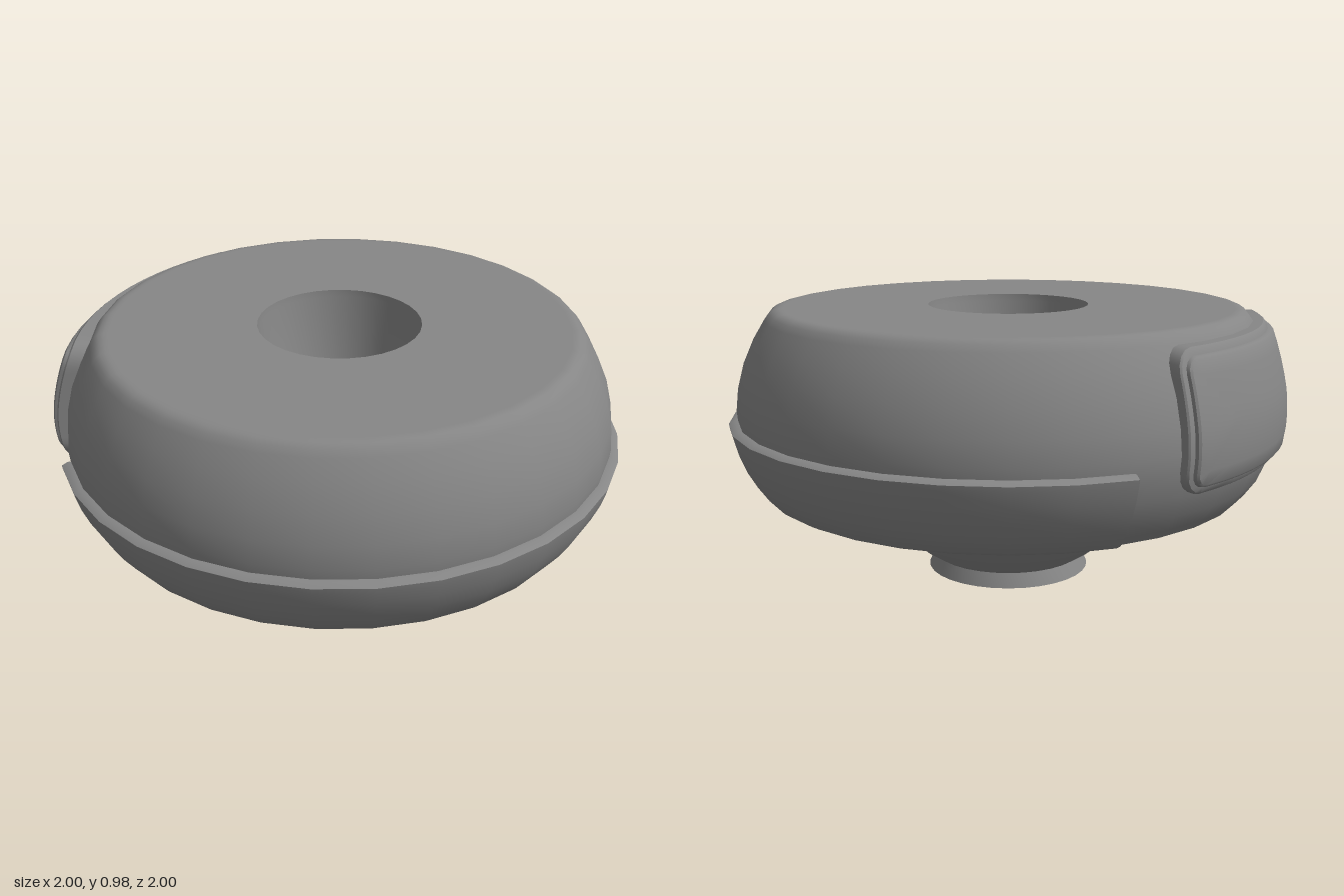
import * as THREE from 'three';
import { toCreasedNormals, mergeVertices } from 'three/addons/utils/BufferGeometryUtils.js';

const SEG = Math.PI / 16; // the round parts have 32 sides
const COLOR = 0x868686;
const mat = new THREE.MeshStandardMaterial({ color: COLOR });
const thin = new THREE.MeshStandardMaterial({ color: COLOR, side: THREE.DoubleSide });
const vecs = (pts) => pts.map(([r, y]) => new THREE.Vector2(r, y));

// outer wall of the drum, bottom to top
const wall = [
  [0.848, 0.325], [0.875, 0.355], [0.915, 0.41], [0.945, 0.48], [0.964, 0.55], [0.971, 0.62],
  [0.962, 0.7], [0.938, 0.79], [0.9, 0.875], [0.862, 0.938], [0.847, 0.959], [0.83, 0.971],
  [0.812, 0.975], [0.8, 0.975],
];

function add(parent, name, geometry, material = mat) {
  const mesh = new THREE.Mesh(geometry, material);
  mesh.name = name;
  parent.add(mesh);
  return mesh;
}

function lathe(pts, sides, start = 0) {
  return toCreasedNormals(new THREE.LatheGeometry(vecs(pts), sides, start, sides * SEG), 0.55);
}

// rounded rectangle outline shrunk by d, counterclockwise, always the same point count
function outline(hw, hh, radius, d) {
  const w = hw - d, h = Math.max(hh - d, 0), c = Math.min(Math.max(radius - d, 0.004), h);
  const pts = [];
  const corners = [[1, 1], [-1, 1], [-1, -1], [1, -1]];
  corners.forEach(([sx, sy], k) => {
    for (let i = 0; i <= 4; i++) {
      const a = (k + i / 4) * Math.PI / 2;
      pts.push([sx * (w - c) + c * Math.cos(a), sy * (h - c) + c * Math.sin(a)]);
    }
    const [nx, ny] = corners[(k + 1) % 4];
    const a = (k + 1) * Math.PI / 2, n = 12;
    for (let i = 1; i < n; i++) {
      const t = i / n;
      pts.push([
        (sx + (nx - sx) * t) * (w - c) + c * Math.cos(a),
        (sy + (ny - sy) * t) * (h - c) + c * Math.sin(a),
      ]);
    }
  });
  return pts;
}

// two-step side panel, wrapped onto the drum wall as nested outlines
function panelGeometry() {
  const hw = 0.6, hh = 0.222, midY = 0.713, midPhi = 23 * SEG;
  const rings = [ // inset, height above the wall
    [0, -0.03], [0, 0.006], [0.006, 0.011], [0.024, 0.011], [0.027, 0.023], [0.035, 0.028],
    [0.08, 0.026], [0.13, 0.024], [0.18, 0.023], [0.222, 0.023],
  ];
  const pos = [], index = [];
  let n = 0;
  rings.forEach(([inset, lift], j) => {
    const pts = outline(hw, hh, 0.075, inset);
    n = pts.length;
    pts.forEach(([u, v], i) => {
      const y = midY + v;
      const flare = 0.022 * (u / hw) ** 2 + 0.025 * Math.max(0, v / hh) ** 2;
      const r = 0.97 - 1.13 * (y - 0.63) ** 2 + lift + (lift > 0 ? flare : 0);
      const phi = midPhi + u / 0.976;
      pos.push(r * Math.sin(phi), y, r * Math.cos(phi));
      if (j > 0) {
        const a = (j - 1) * n + i, b = (j - 1) * n + (i + 1) % n;
        index.push(a, b, b + n, a, b + n, a + n);
      }
    });
  });
  const g = new THREE.BufferGeometry();
  g.setAttribute('position', new THREE.Float32BufferAttribute(pos, 3));
  g.setIndex(index);
  return toCreasedNormals(mergeVertices(g), 0.6);
}

// one spoke of the cross, seen from above, widening toward the outer end
function spokeGeometry() {
  const half = [[0, 0.04], [0.085, 0.04], [0.11, 0.06], [0.57, 0.06]];
  const pts = [...half, ...half.map(([x, y]) => [x, -y]).reverse()];
  const g = new THREE.ExtrudeGeometry(new THREE.Shape(vecs(pts)), { depth: 0.022, bevelEnabled: false });
  return g.rotateX(-Math.PI / 2);
}

export function createModel() {
  const model = new THREE.Group();
  model.name = 'roundDispenser';
  const body = new THREE.Group();
  body.name = 'body';
  body.position.x = -0.007;
  model.add(body);

  // drum, bowl, foot and the tapered hole through the middle, as one closed profile
  add(body, 'drum', lathe([
    [0.21, 0], [0.295, 0], [0.275, 0.05], [0.34, 0.093], [0.4, 0.148], [0.455, 0.21],
    [0.5, 0.27], [0.525, 0.325], ...wall,
    [0.287, 0.975], [0.285, 0.95], [0.235, 0.68], [0.165, 0.33], [0.165, 0.29], [0.21, 0],
  ], 32));

  // raised band round three quarters of the drum, with flat ends
  const bandPts = [
    [0.84, 0.322], [0.862, 0.322], [0.888, 0.336], [0.925, 0.388], [0.957, 0.443], [0.982, 0.505],
    [0.996, 0.555], [1.0, 0.575], [0.98, 0.586], [0.955, 0.586], [0.93, 0.48], [0.84, 0.322],
  ];
  const start = 27 * SEG;
  add(body, 'band', lathe(bandPts, 24, start));
  for (const phi of [start, start + 24 * SEG]) {
    const cap = add(body, 'bandEnd', new THREE.ShapeGeometry(new THREE.Shape(vecs(bandPts.slice(0, -1)))), thin);
    cap.rotation.y = phi - Math.PI / 2;
  }

  add(body, 'sidePanel', panelGeometry(), thin);

  // cross inside the hole; its ends show as tabs under the drum
  const cross = new THREE.Group();
  cross.name = 'cross';
  cross.position.y = 0.299;
  cross.rotation.y = -0.3;
  body.add(cross);
  for (let i = 0; i < 4; i++) {
    const spoke = new THREE.Group();
    spoke.name = 'spoke';
    spoke.rotation.y = i * Math.PI / 2;
    cross.add(spoke);
    add(spoke, 'spokeBar', spokeGeometry());
    const ridge = add(spoke, 'spokeRidge', new THREE.BoxGeometry(0.19, 0.02, 0.035));
    ridge.position.set(0.095, 0.03, 0);
  }
  const hub = add(cross, 'hub', new THREE.BoxGeometry(0.035, 0.03, 0.035));
  hub.position.y = 0.035;

  return model;
}
